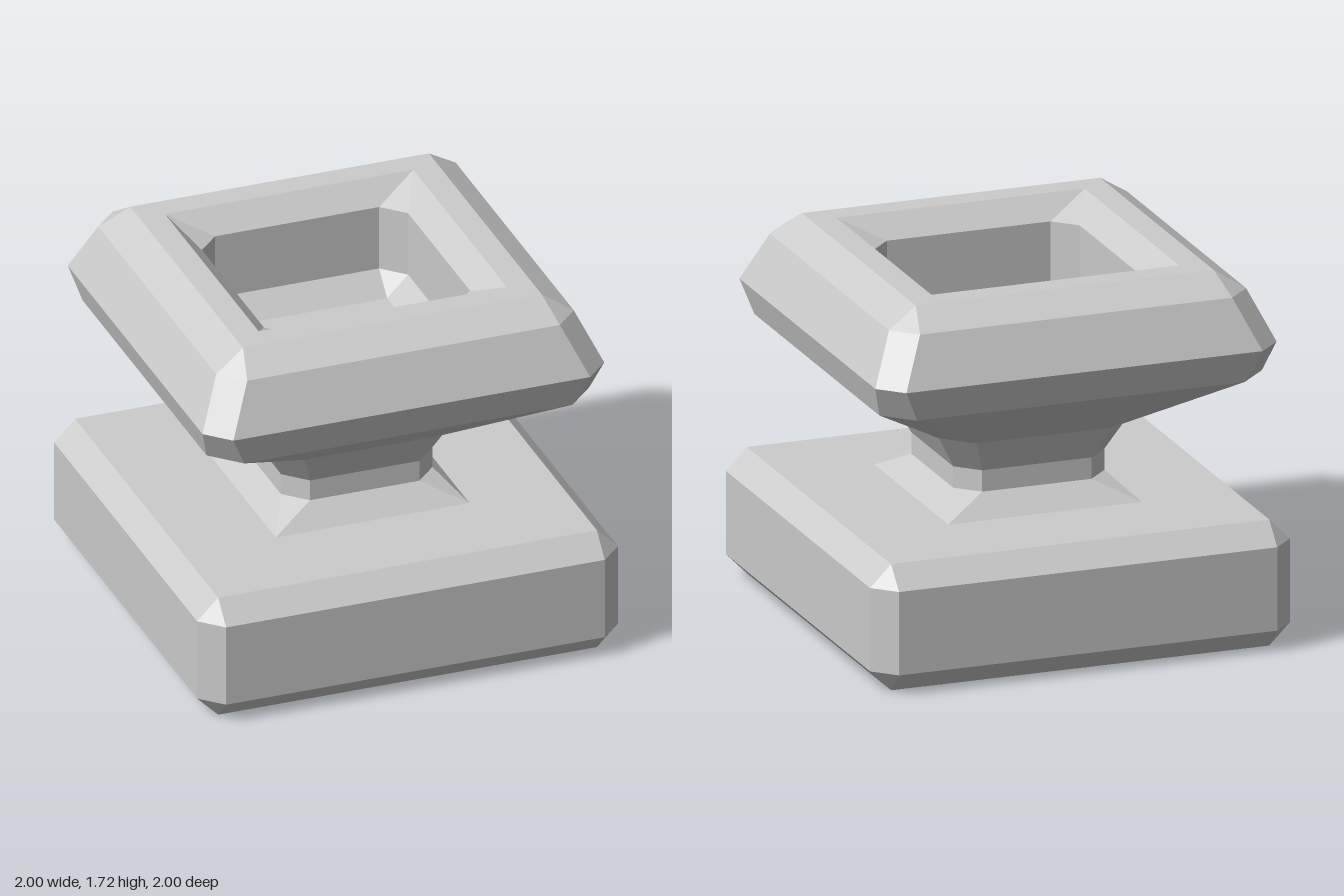
import * as THREE from 'three';

// Square ring of half-width r with corners cut by c, at height y (8 points)
function ring([y, r, c]) {
  const k = r - c;
  return [[r, k], [k, r], [-k, r], [-r, k], [-r, -k], [-k, -r], [k, -r], [r, -k]]
    .map(([x, z]) => new THREE.Vector3(x, y, z));
}

// Flat-shaded skin through a list of [height, half-width, corner cut]
function loft(name, sections, capStart = false, capEnd = false) {
  const rings = sections.map(ring);
  const pos = [];
  const tri = (a, b, c) => {
    if (new THREE.Triangle(a, b, c).getArea() < 1e-7) return;
    for (const p of [a, b, c]) pos.push(p.x, p.y, p.z);
  };
  for (let i = 0; i < rings.length - 1; i++) {
    const lo = rings[i], hi = rings[i + 1];
    for (let j = 0; j < 8; j++) {
      const n = (j + 1) % 8;
      tri(lo[j], hi[j], hi[n]);
      tri(lo[j], hi[n], lo[n]);
    }
  }
  const first = rings[0], last = rings[rings.length - 1];
  for (let j = 1; j < 7; j++) {
    if (capStart) tri(first[0], first[j], first[j + 1]);
    if (capEnd) tri(last[0], last[j + 1], last[j]);
  }
  const geometry = new THREE.BufferGeometry();
  geometry.setAttribute('position', new THREE.Float32BufferAttribute(pos, 3));
  geometry.computeVertexNormals();
  const mesh = new THREE.Mesh(geometry, new THREE.MeshStandardMaterial({ color: 0xcccccc, flatShading: true }));
  mesh.name = name;
  return mesh;
}

export function createModel() {
  const model = new THREE.Group();
  model.name = 'pedestalBowl';

  // Chamfered plinth, its top running in to the foot of the neck
  model.add(loft('base', [
    [0, 0.9, 0], [0.1, 1, 0.1], [0.49, 1, 0.1], [0.59, 0.9, 0], [0.59, 0.46, 0],
  ], true));

  // Waisted neck
  model.add(loft('neck', [
    [0.59, 0.46, 0], [0.69, 0.36, 0.1], [0.79, 0.36, 0.1], [0.95, 0.45, 0.13],
  ]));

  // Flared outside of the bowl up to the rim
  model.add(loft('bowl', [
    [0.95, 0.45, 0.13], [1.25, 0.91, 0.13], [1.4, 0.955, 0.107], [1.63, 0.85, 0.107],
    [1.72, 0.71, 0], [1.72, 0.59, 0],
  ]));

  // Recess: bevelled lip, upright walls, bevelled floor
  model.add(loft('recess', [
    [1.72, 0.59, 0], [1.62, 0.49, 0.1], [1.31, 0.49, 0.1], [1.21, 0.39, 0],
  ], false, true));

  return model;
}
